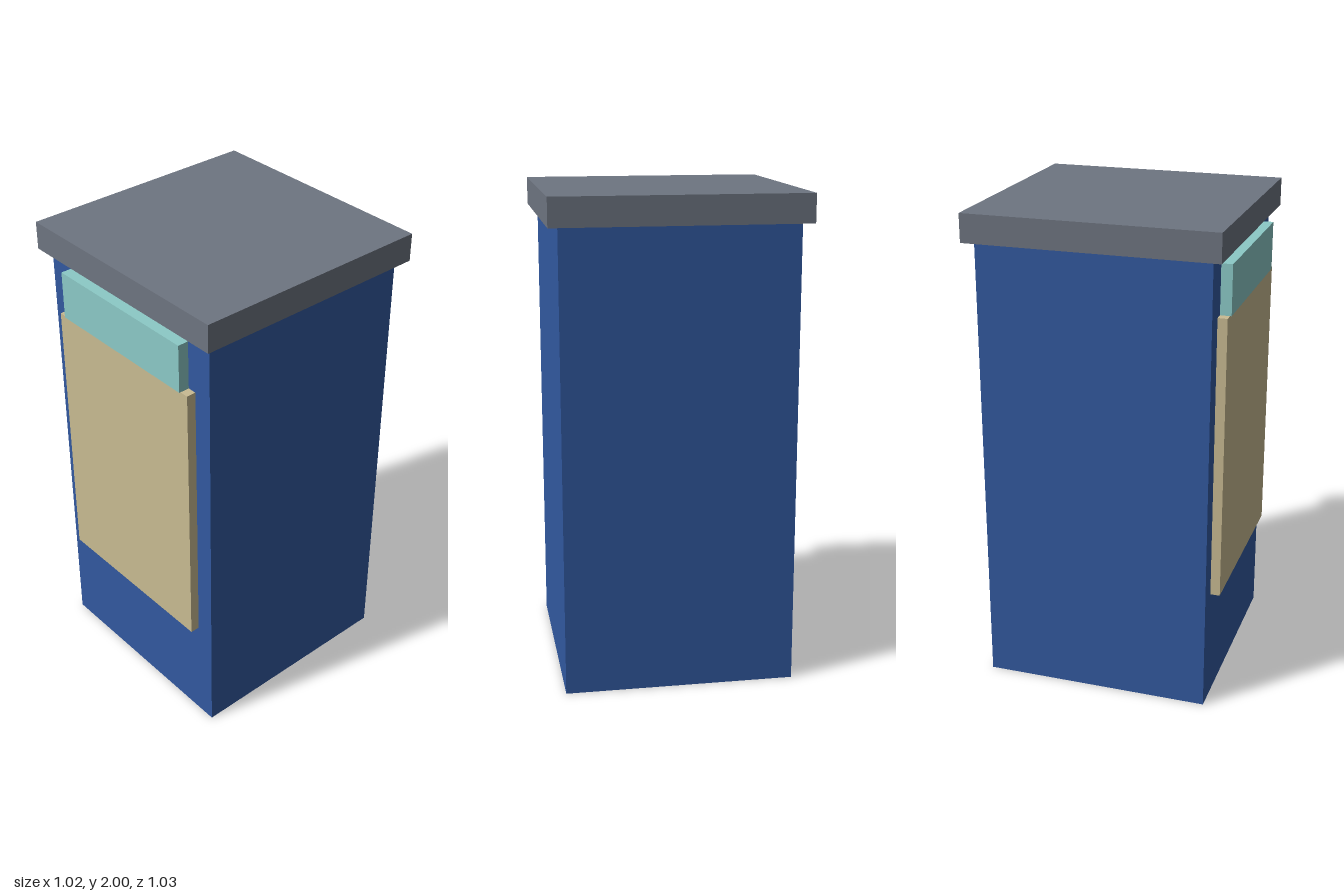
import * as THREE from 'three';

const paint = (name, color) => {
  const material = new THREE.MeshStandardMaterial({ color });
  material.name = name;
  return material;
};

export function createModel() {
  const group = new THREE.Group();
  group.name = 'cabinet';

  const blue = paint('blue', 0x3259a0);
  const grey = paint('grey', 0x6e7581);
  const tan = paint('tan', 0xc9bb92);
  const teal = paint('teal', 0x8ccac7);

  // Box centred on x, given by its width and its y and z ranges
  const addBox = (name, material, width, [y0, y1], [z0, z1]) => {
    const mesh = new THREE.Mesh(new THREE.BoxGeometry(width, y1 - y0, z1 - z0), material);
    mesh.position.set(0, (y0 + y1) / 2, (z0 + z1) / 2);
    mesh.name = name;
    group.add(mesh);
  };

  // Tall body with an overhanging lid
  addBox('body', blue, 0.94, [0, 1.885], [-0.473, 0.467]);
  addBox('lid', grey, 1.02, [1.885, 2], [-0.513, 0.507]);

  // Raised front panel and the display strip above it
  addBox('frontPanel', tan, 0.78, [0.476, 1.646], [0.467, 0.506]);
  addBox('displayStrip', teal, 0.706, [1.646, 1.846], [0.467, 0.512]);

  return group;
}
